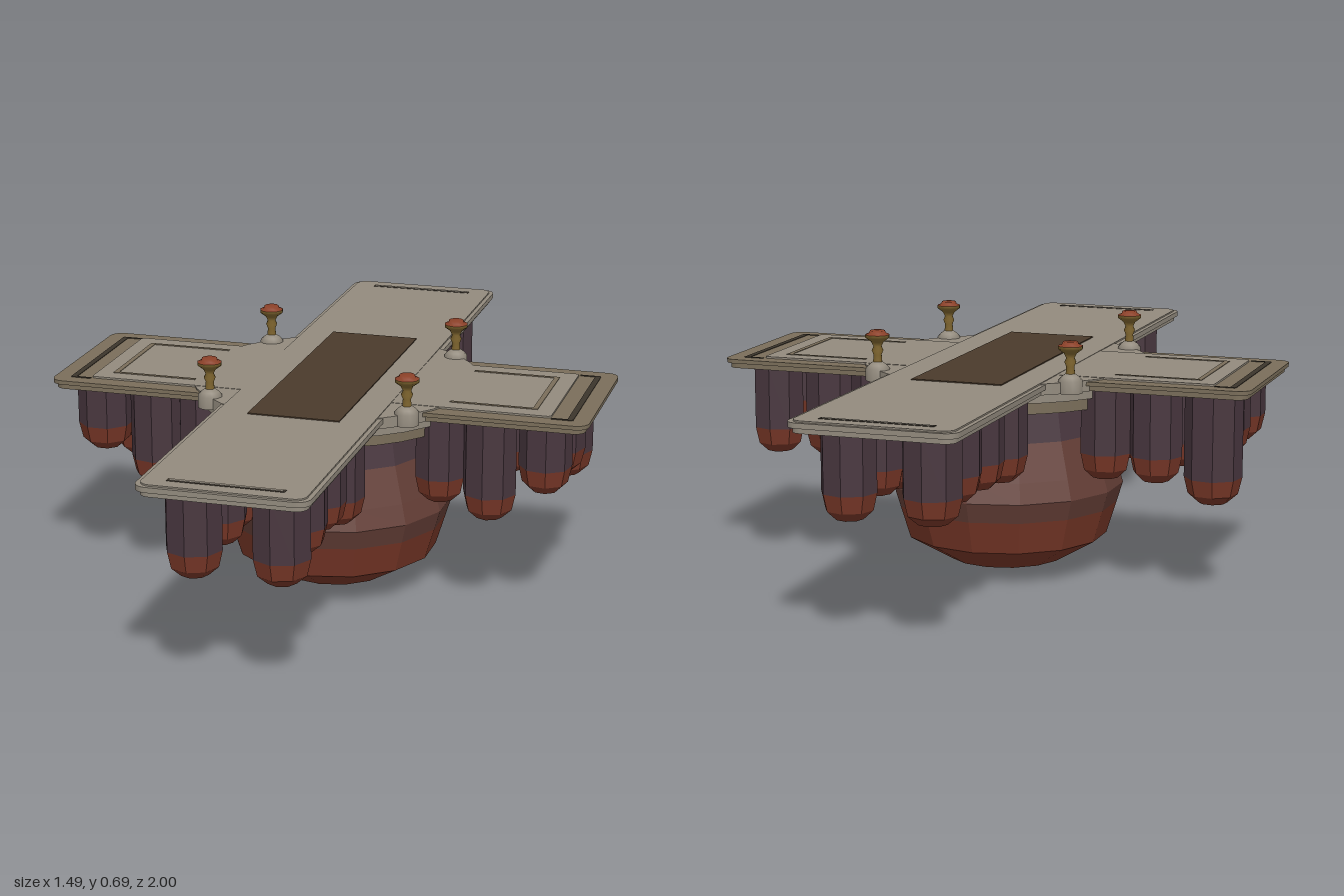
import * as THREE from 'three';

const mat = (name, color) => {
  const m = new THREE.MeshStandardMaterial({ color });
  m.name = name;
  return m;
};

export function createModel() {
  const model = new THREE.Group();
  model.name = 'floatingCrossPlatform';
  const stone = mat('grey stone', 0x938b7e);
  const tan = mat('tan stone', 0x7a6e5a);
  const runnerBrown = mat('brown runner', 0x4a3a2b);
  const groove = mat('dark groove', 0x3c352c);
  const rockDark = mat('purple rock', 0x49373f);
  const rockMid = mat('brown rock', 0x643e36);
  const rockRed = mat('red rock', 0x7a3828);
  const gold = mat('old gold', 0x80662f);
  const red = mat('red knob', 0x8a4028);
  for (const m of [rockDark, rockMid, rockRed]) m.flatShading = true;

  const add = (name, geo, material, x = 0, y = 0, z = 0, parent = model) => {
    const mesh = new THREE.Mesh(geo, material);
    mesh.name = name;
    mesh.position.set(x, y, z);
    parent.add(mesh);
    return mesh;
  };
  const lathe = (pts, sides) =>
    new THREE.LatheGeometry(pts.map(([r, y]) => new THREE.Vector2(r, y)), sides);

  // Rounded rectangular slab, half sizes hx and hz, from y0 to y1
  const slab = (name, hx, hz, r, y0, y1, material, cx = 0) => {
    const s = new THREE.Shape();
    s.moveTo(-hx + r, -hz);
    s.lineTo(hx - r, -hz);
    s.absarc(hx - r, -hz + r, r, -Math.PI / 2, 0);
    s.absarc(hx - r, hz - r, r, 0, Math.PI / 2);
    s.absarc(-hx + r, hz - r, r, Math.PI / 2, Math.PI);
    s.absarc(-hx + r, -hz + r, r, Math.PI, Math.PI * 1.5);
    const geo = new THREE.ExtrudeGeometry(s, { depth: y1 - y0, bevelEnabled: false, curveSegments: 5 });
    geo.rotateX(-Math.PI / 2);
    return add(name, geo, material, cx, y0, 0);
  };
  const strip = (name, w, d, x, y, z, material) =>
    add(name, new THREE.BoxGeometry(w, 0.004, d), material, x, y, z);

  // Crossing deck: each arm has a recessed lower tier and a wider upper tier
  slab('sideArmLower', 0.735, 0.237, 0.03, 0.556, 0.57, tan);
  slab('sideArmUpper', 0.745, 0.245, 0.035, 0.57, 0.581, tan);
  slab('longArmLower', 0.212, 0.99, 0.03, 0.555, 0.569, stone);
  slab('longArmUpper', 0.222, 1.0, 0.035, 0.569, 0.583, stone);
  slab('longArmTop', 0.21, 0.99, 0.03, 0.58, 0.587, stone);

  // Round hub with stepped collars below the deck
  const disc = (name, r, y0, y1, m) =>
    add(name, new THREE.CylinderGeometry(r, r, y1 - y0, 32), m, 0, (y0 + y1) / 2, 0);
  disc('hubTop', 0.395, 0.555, 0.585, stone);
  disc('hubCollar', 0.375, 0.53, 0.555, stone);
  disc('hubLowerCollar', 0.355, 0.497, 0.53, tan);

  // Raised panel, border groove and inlay line on each side arm
  slab('sidePanel', 0.64, 0.197, 0.01, 0.575, 0.586, stone);
  for (const s of [-1, 1]) {
    strip('endGroove', 0.016, 0.4, s * 0.692, 0.5805, 0, groove);
    strip('inlayEnd', 0.014, 0.3, s * 0.588, 0.5855, 0, tan);
    for (const t of [-1, 1]) {
      strip('sideGroove', 0.055, 0.008, s * 0.67, 0.5805, t * 0.2, groove);
      strip('inlaySide', 0.235, 0.01, s * 0.475, 0.5855, t * 0.145, tan);
    }
    // Slot near each end of the long arm
    strip('endSlot', 0.3, 0.018, 0, 0.586, s * 0.943, groove);
    strip('endSlotFill', 0.288, 0.008, 0, 0.587, s * 0.943, stone);
  }
  strip('runner', 0.25, 0.8, 0, 0.588, 0, runnerBrown);

  // Four posts with flared caps at the inner corners
  for (const sx of [-1, 1]) for (const sz of [-1, 1]) {
    const post = new THREE.Group();
    post.name = 'post';
    post.position.set(sx * 0.272, 0, sz * 0.272);
    model.add(post);
    add('postBase', lathe([[0.033, 0.555], [0.033, 0.588], [0.024, 0.598], [0.013, 0.606], [0, 0.607]], 12),
      stone, 0, 0, 0, post);
    add('postStem', lathe([[0.013, 0.6], [0.011, 0.625], [0.016, 0.637], [0.011, 0.648], [0.017, 0.66],
      [0.033, 0.672], [0.033, 0.68]], 12), gold, 0, 0, 0, post);
    add('postKnob', lathe([[0.033, 0.68], [0.023, 0.684], [0.02, 0.691], [0, 0.692]], 12), red, 0, 0, 0, post);
  }

  // Central boulder, banded from red at the bottom to purple at the top
  const bands = [
    ['boulderBottom', rockRed, [[0, 0.003], [0.16, 0.03], [0.28, 0.1], [0.308, 0.19]]],
    ['boulderWaist', rockMid, [[0.308, 0.19], [0.325, 0.245], [0.308, 0.3], [0.275, 0.4]]],
    ['boulderTop', rockDark, [[0.275, 0.4], [0.255, 0.5], [0.255, 0.556]]],
  ];
  for (const [name, m, pts] of bands) add(name, lathe(pts, 14), m);

  // Hanging rock columns: [x, z, bottom]
  const columns = [
    [-0.11, 0.87, 0.315], [0.11, 0.85, 0.31], [-0.1, 0.7, 0.34], [0.1, 0.68, 0.33],
    [-0.12, 0.55, 0.33], [0.11, 0.53, 0.34], [-0.11, 0.4, 0.33], [0.12, 0.4, 0.31],
    [0.11, -0.86, 0.315], [-0.11, -0.86, 0.32], [0.1, -0.7, 0.345], [-0.1, -0.69, 0.34],
    [0.12, -0.56, 0.33], [-0.11, -0.54, 0.34], [0.11, -0.4, 0.36], [-0.12, -0.4, 0.33],
    [0.62, 0.15, 0.36], [0.62, 0, 0.365], [0.62, -0.15, 0.31],
    [0.47, 0.15, 0.27], [0.46, -0.14, 0.31], [0.33, 0.13, 0.3], [0.32, -0.15, 0.27],
    [-0.62, 0.15, 0.37], [-0.62, 0, 0.36], [-0.63, -0.15, 0.255],
    [-0.47, 0.15, 0.285], [-0.47, -0.14, 0.3], [-0.33, 0.14, 0.3], [-0.33, -0.14, 0.3],
  ];
  columns.forEach(([x, z, b], i) => {
    const r = 0.074 + 0.004 * Math.sin(i * 2.3);
    const column = new THREE.Group();
    column.name = 'rockColumn';
    column.position.set(x, 0, z);
    column.rotation.y = i * 0.7;
    model.add(column);
    add('columnShaft', lathe([[r, b + 0.075], [r, 0.557]], 8), rockDark, 0, 0, 0, column);
    add('columnTip', lathe([[0, b], [r * 0.5, b + 0.006], [r * 0.86, b + 0.03], [r, b + 0.075]], 8),
      rockRed, 0, 0, 0, column);
  });

  return model;
}
